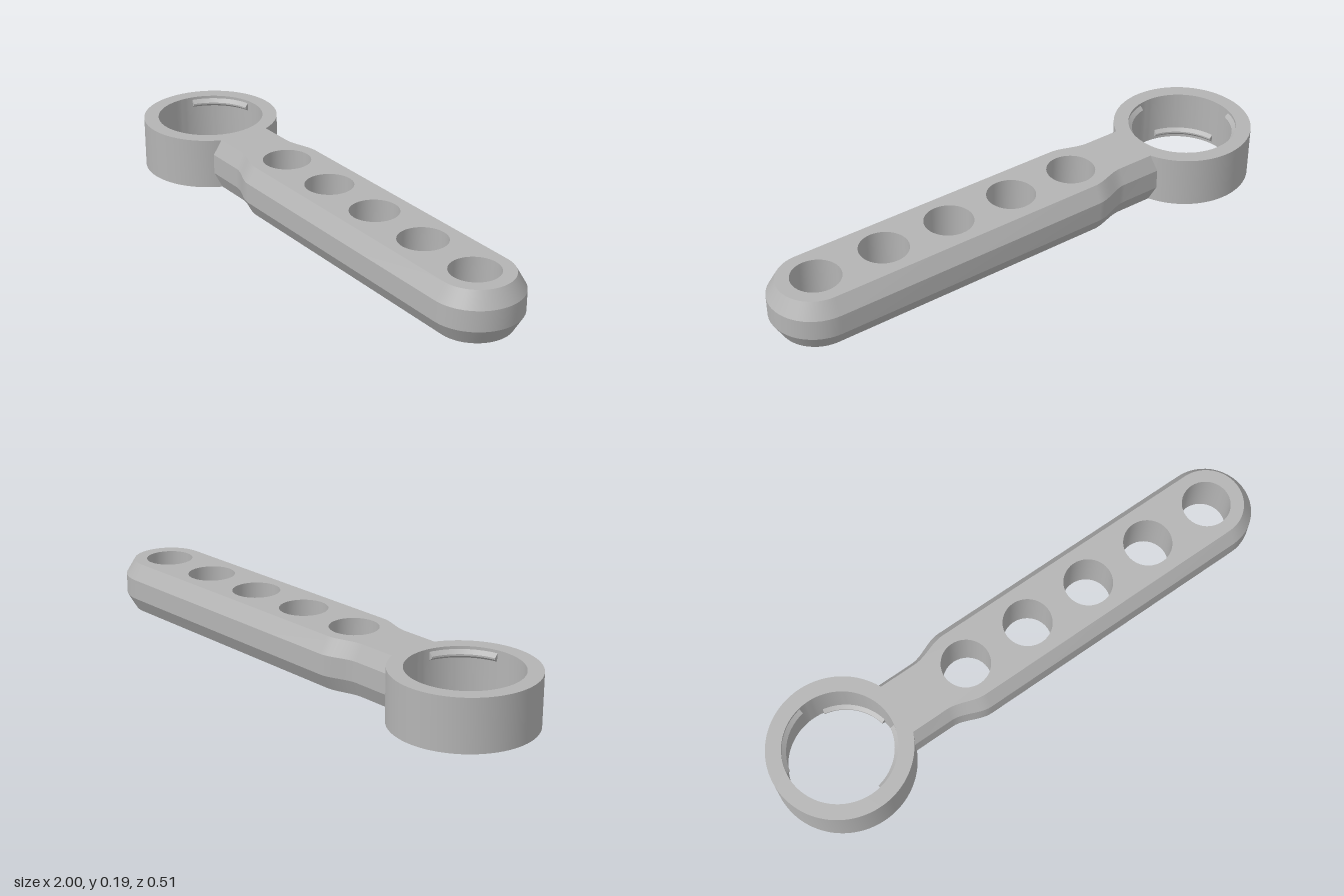
import * as THREE from 'three';
import { toCreasedNormals } from 'three/addons/utils/BufferGeometryUtils.js';

const H = 0.19;                                   // overall thickness
const RING = { x: -0.745, outer: 0.255, inner: 0.2 };
const HOLES = [0, 1, 2, 3, 4].map(i => -0.222 + i * 0.263);
const HOLE_R = 0.088, BOSS_R = 0.112, RIB = 0.012, POCKET_TOP = 0.13;

const metal = new THREE.MeshStandardMaterial({ color: 0xb4b4b4 });
metal.name = 'grey metal';

// Half outline of the handle at +z, mirrored to -z; points are (x, z)
function outline(inset) {
  const neck = 0.126 - inset * 0.8, wide = 0.165 - inset;
  const half = [[-0.535, neck]];
  for (let i = 0; i <= 12; i++) {
    const t = i / 12;
    half.push([-0.37 + 0.14 * t, neck + (wide - neck) * t * t * (3 - 2 * t)]);
  }
  for (let i = 0; i <= 12; i++) {
    const a = Math.PI / 2 * (1 - i / 12);
    half.push([0.835 + wide * Math.cos(a), wide * Math.sin(a)]);
  }
  const other = half.slice(0, -1).reverse().map(([x, z]) => [x, -z]);
  return [...half, ...other].map(p => new THREE.Vector2(...p));
}

function circle(cx, r, n = 40) {
  return Array.from({ length: n }, (_, i) => {
    const a = i / n * Math.PI * 2;
    return new THREE.Vector2(cx + r * Math.cos(a), r * Math.sin(a));
  });
}

// Arc along a boss wall, from the centre rib out to half-width w
function bossArc(cx, dir, w) {
  const a0 = Math.asin(RIB / BOSS_R), a1 = Math.asin(w / BOSS_R);
  return Array.from({ length: 9 }, (_, i) => {
    const a = a0 + (a1 - a0) * i / 8;
    return new THREE.Vector2(cx + dir * BOSS_R * Math.cos(a), BOSS_R * Math.sin(a));
  });
}

// Underside pockets: between the bosses and along the neck, both sides of the rib
function pockets() {
  const list = [[
    ...bossArc(HOLES[0], -1, 0.075),
    new THREE.Vector2(-0.47, 0.075), new THREE.Vector2(-0.47, RIB),
  ]];
  for (let i = 0; i < HOLES.length - 1; i++) {
    list.push([...bossArc(HOLES[i + 1], -1, 0.105), ...bossArc(HOLES[i], 1, 0.105).reverse()]);
  }
  return list.flatMap(p => [p, p.map(v => new THREE.Vector2(v.x, -v.y)).reverse()]);
}

// Wall through matching loops stacked from bottom to top
function wall(levels, closed) {
  const pos = [];
  for (let k = 0; k < levels.length - 1; k++) {
    const [A, ya] = levels[k], [B, yb] = levels[k + 1], n = A.length;
    for (let i = 0; i < (closed ? n : n - 1); i++) {
      const j = (i + 1) % n;
      const a0 = [A[i].x, ya, A[i].y], a1 = [A[j].x, ya, A[j].y];
      const b0 = [B[i].x, yb, B[i].y], b1 = [B[j].x, yb, B[j].y];
      pos.push(...a0, ...a1, ...b1, ...a0, ...b1, ...b0);
    }
  }
  const g = new THREE.BufferGeometry();
  g.setAttribute('position', new THREE.Float32BufferAttribute(pos, 3));
  return toCreasedNormals(g, 0.4);
}

// Flat face at height y, facing up or down
function face(points, holes, y, up) {
  const shape = new THREE.Shape(points.map(p => new THREE.Vector2(p.x, up ? -p.y : p.y)));
  shape.holes = holes.map(h => new THREE.Path(h.map(p => new THREE.Vector2(p.x, up ? -p.y : p.y))));
  return new THREE.ShapeGeometry(shape).rotateX(up ? -Math.PI / 2 : Math.PI / 2).translate(0, y, 0);
}

// Bevelled tab: a profile extruded and bent around the ring axis
function tabGeometry(centre, atTop) {
  const profile = [[0.206, 0.185], [0.186, 0.166], [0.186, 0.16], [0.206, 0.145]];
  const shape = new THREE.Shape(profile.map(([r, y]) => new THREE.Vector2(r, atTop ? y : H - y)));
  const span = THREE.MathUtils.degToRad(68);
  const g = new THREE.ExtrudeGeometry(shape, { depth: span, steps: 12, bevelEnabled: false });
  const p = g.attributes.position;
  for (let i = 0; i < p.count; i++) {
    const r = p.getX(i), a = centre - span / 2 + p.getZ(i);
    p.setXYZ(i, r * Math.cos(a), p.getY(i), r * Math.sin(a));
  }
  return toCreasedNormals(g, 0.4);
}

export function createModel() {
  const model = new THREE.Group();
  model.name = 'ringWrench';
  const add = (parent, name, geometry) => {
    const mesh = new THREE.Mesh(geometry, metal);
    mesh.name = name;
    parent.add(mesh);
    return mesh;
  };

  // Handle with chamfered edges, through holes and hollow underside
  const handle = new THREE.Group();
  handle.name = 'handle';
  model.add(handle);
  const narrow = outline(0.033), wide = outline(0);
  const holes = HOLES.map(x => circle(x, HOLE_R));
  const cavities = pockets();
  add(handle, 'handleSides', wall([[narrow, 0], [wide, 0.058], [wide, 0.133], [narrow, H]], false));
  add(handle, 'handleTop', face(narrow, holes, H, true));
  add(handle, 'handleUnderside', face(narrow, [...holes, ...cavities], 0, false));
  holes.forEach(h => add(handle, 'holeWall', wall([[h, 0], [h, H]], true)));
  cavities.forEach(c => {
    add(handle, 'pocketWall', wall([[c, 0], [c, POCKET_TOP]], true));
    add(handle, 'pocketCeiling', face(c, [], POCKET_TOP, false));
  });

  // Ring head
  const head = new THREE.Group();
  head.name = 'ringHead';
  head.position.x = RING.x;
  model.add(head);
  const ringShape = new THREE.Shape().absarc(0, 0, RING.outer, 0, Math.PI * 2);
  ringShape.holes.push(new THREE.Path().absarc(0, 0, RING.inner, 0, Math.PI * 2, true));
  const ring = new THREE.ExtrudeGeometry(ringShape, { depth: H, bevelEnabled: false, curveSegments: 64 });
  add(head, 'ring', toCreasedNormals(ring.rotateX(-Math.PI / 2), 0.4));

  // Four inner tabs, alternating between the top and bottom rim
  for (let i = 0; i < 4; i++) {
    add(head, 'innerTab', tabGeometry(Math.PI / 4 + i * Math.PI / 2, i % 2 === 0));
  }
  return model;
}
